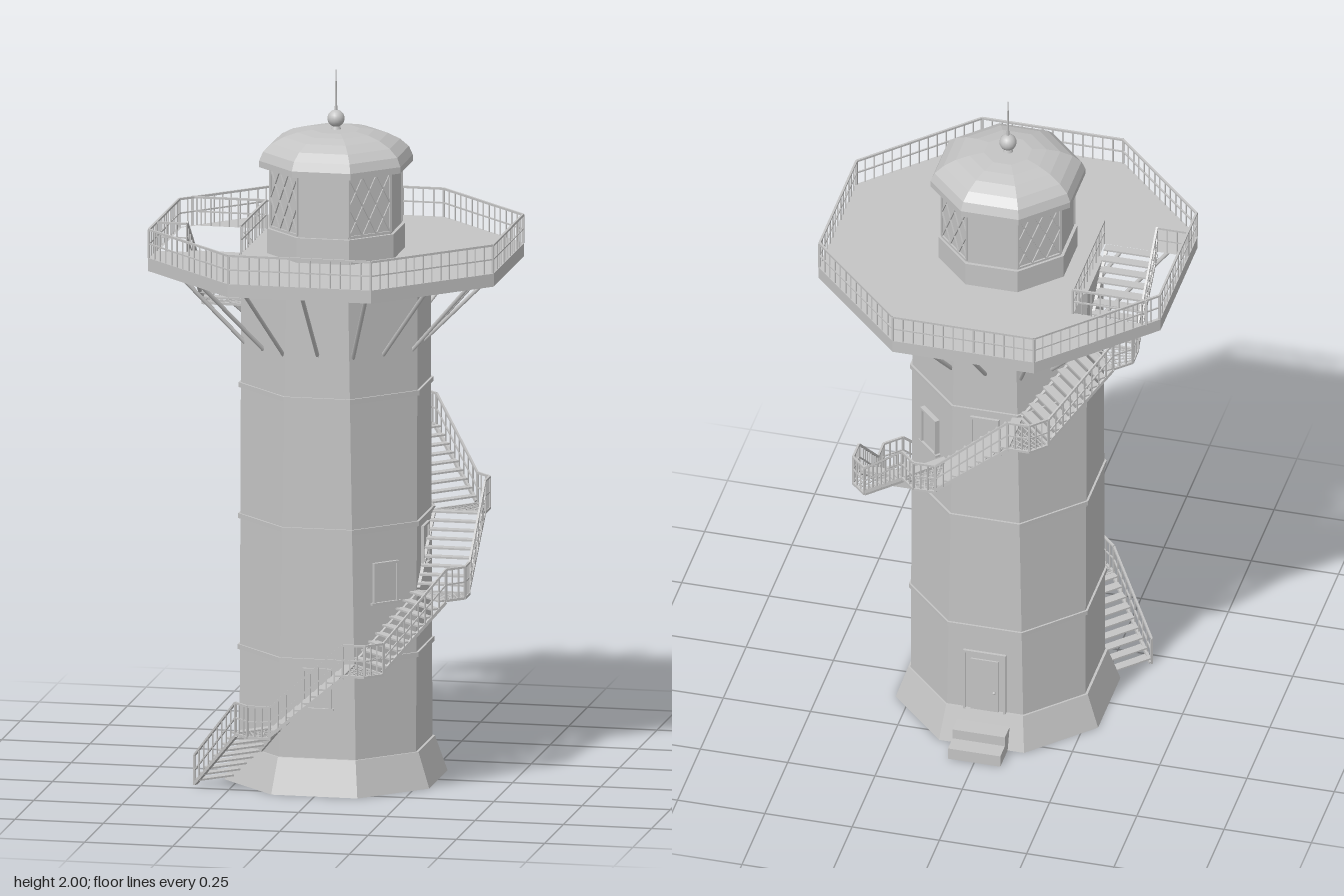
import * as THREE from 'three';
import { mergeGeometries } from 'three/addons/utils/BufferGeometryUtils.js';

const grey = new THREE.MeshStandardMaterial({ color: 0xc4c4c4 });
grey.name = 'pale grey';
const V = (x, y, z) => new THREE.Vector3(x, y, z);

function add(parent, name, geometry) {
  const mesh = new THREE.Mesh(geometry, grey);
  mesh.name = name;
  parent.add(mesh);
  return mesh;
}

// Box given by its centre and size
const box = (x, y, z, w, h, d) => new THREE.BoxGeometry(w, h, d).translate(x, y, z);

// Square bar between two points
function bar(a, b, t = 0.004) {
  const dir = b.clone().sub(a);
  const g = new THREE.BoxGeometry(t, t, dir.length());
  const m = new THREE.Object3D();
  m.position.copy(a).add(b).multiplyScalar(0.5);
  m.lookAt(b);
  m.updateMatrix();
  return g.applyMatrix4(m.matrix);
}

const corners = (a, h) => [[h, a], [a, h], [a, -h], [h, -a], [-h, -a], [-a, -h], [-a, h], [-h, a]];
const SIDE = Math.tan(Math.PI / 8);

// Closed eight-sided loft from sections [y, apothem, half side]
function octLoft(sections) {
  const rings = sections.map(([y, a, h = a * SIDE]) => corners(a, h).map(([x, z]) => V(x, y, z)));
  const pts = [];
  const last = rings.length - 1;
  for (let i = 0; i < 8; i++) {
    const j = (i + 1) % 8;
    for (let r = 0; r < last; r++) {
      const [p, q, s, t] = [rings[r][i], rings[r][j], rings[r + 1][j], rings[r + 1][i]];
      pts.push(p, q, s, p, s, t);
    }
    pts.push(V(0, sections[0][0], 0), rings[0][j], rings[0][i]);
    pts.push(V(0, sections[last][0], 0), rings[last][i], rings[last][j]);
  }
  const g = new THREE.BufferGeometry().setFromPoints(pts);
  g.computeVertexNormals();
  return g;
}

// Railing along a path of floor points: top rail, middle rail and balusters
function railing(path, counts, height, closed = false) {
  const out = [];
  const up = (p, h) => p.clone().add(V(0, h, 0));
  const n = closed ? path.length : path.length - 1;
  for (let i = 0; i < n; i++) {
    const a = path[i], b = path[(i + 1) % path.length];
    out.push(bar(up(a, height), up(b, height), 0.006), bar(up(a, height * 0.5), up(b, height * 0.5)));
    for (let k = 0; k <= counts[i]; k++) {
      const p = a.clone().lerp(b, k / counts[i]);
      out.push(bar(p, up(p, height), k === 0 ? 0.006 : 0.0035));
    }
  }
  return mergeGeometries(out);
}

const DECK = 1.487;

function addStairs(root) {
  const rise = DECK / 8, half = 0.1035, steps = 9, inner = 0.252, outer = 0.4;
  for (let i = 0; i < 8; i++) {
    const flight = new THREE.Group();
    flight.name = 'stairFlight';
    flight.rotation.y = (i - 1) * Math.PI / 4;
    flight.position.y = i * rise;
    root.add(flight);
    // Treads and stringers
    const treads = [];
    const run = 2 * half / steps;
    for (let s = 0; s < steps; s++) {
      treads.push(box(-half + (s + 0.5) * run, (s + 1) * rise / steps - 0.003, 0.326, run + 0.003, 0.005, 0.146));
    }
    add(flight, 'treads', mergeGeometries(treads));
    add(flight, 'stringers', mergeGeometries([inner + 0.004, outer - 0.003].map(z =>
      bar(V(-half, 0.004, z), V(half, rise - 0.008, z), 0.009))));
    const path = [V(-half, 0, outer), V(half, rise, outer)];
    const counts = [9];
    if (i < 7) {
      // Corner landing of open grating
      const c = [V(half, rise, inner), V(half, rise, outer), V(0.1657, rise, outer), V(half + 0.105, rise, 0.356)];
      const at = (p, q, t) => c[p].clone().lerp(c[q], t).add(V(0, -0.003, 0));
      const grate = [];
      for (let k = 0; k <= 6; k++) {
        const t = k / 6, w = k % 6 ? 0.0025 : 0.007;
        grate.push(bar(at(0, 1, t), at(3, 2, t), w), bar(at(0, 3, t), at(1, 2, t), w));
      }
      add(flight, 'landing', mergeGeometries(grate.filter(g => Number.isFinite(g.attributes.position.array[0]))));
      path.push(c[2], c[3]);
      counts.push(3, 3);
    }
    add(flight, 'stairRailing', railing(path, counts, 0.085));
  }
}

// Framed opening on tower face k
function addOpening(root, name, k, y0, y1, w) {
  const g = new THREE.Group();
  g.name = name;
  g.rotation.y = k * Math.PI / 4;
  root.add(g);
  const h = y1 - y0, y = (y0 + y1) / 2, f = 0.007;
  add(g, 'panel', box(0, y, 0.245, w, h, 0.014));
  add(g, 'frame', mergeGeometries([
    box(-w / 2, y, 0.245, f, h, 0.026), box(w / 2, y, 0.245, f, h, 0.026),
    box(0, y1, 0.245, w + f, f, 0.026), box(0, y0, 0.245, w + 0.02, f, 0.03)]));
  return g;
}

export function createModel() {
  const root = new THREE.Group();
  root.name = 'lighthouse';

  // Tower, flared foot and string courses
  add(root, 'foot', octLoft([[0, 0.29, 0.122], [0.1, 0.257, 0.11]]));
  add(root, 'tower', octLoft([[0.1, 0.25, 0.109], [1.452, 0.25, 0.087]]));
  for (const y of [0.375, 0.745, 1.115]) {
    const h = 0.112 - 0.0163 * y;
    add(root, 'stringCourse', octLoft([[y - 0.007, 0.256, h], [y + 0.007, 0.256, h]]));
  }

  // Windows following the stair, door and doorsteps at the back
  [[0, 0.24], [1, 0.535], [2, 0.61], [3, 0.91], [4, 0.98], [5, 1.275]].forEach(([k, y]) =>
    addOpening(root, 'window', k, y, y + 0.112, 0.075));
  const door = addOpening(root, 'door', 4, 0.07, 0.292, 0.115);
  add(door, 'doorLeaf', box(0, 0.17, 0.25, 0.08, 0.2, 0.014));
  add(door, 'doorKnob', new THREE.SphereGeometry(0.005, 8, 6).translate(0.028, 0.165, 0.26));
  add(root, 'upperDoorstep', box(0, 0.0325, -0.29, 0.15, 0.065, 0.06));
  add(root, 'lowerDoorstep', box(0, 0.0175, -0.333, 0.15, 0.035, 0.074));

  addStairs(root);

  // Gallery deck with stair opening
  const deckShape = new THREE.Shape(corners(0.49, 0.203).map(([x, z]) => new THREE.Vector2(x, z)));
  const opening = [[-0.25, -0.235], [-0.445, -0.235], [-0.48, -0.2], [-0.48, 0.105], [-0.25, 0.105]];
  deckShape.holes.push(new THREE.Path(opening.map(([x, z]) => new THREE.Vector2(x, z))));
  add(root, 'galleryDeck', new THREE.ExtrudeGeometry(deckShape, { depth: 0.037, bevelEnabled: false })
    .rotateX(Math.PI / 2).translate(0, DECK, 0));
  add(root, 'galleryRailing', railing(corners(0.487, 0.202).map(([x, z]) => V(x, DECK, z)), Array(8).fill(14), 0.08, true));
  add(root, 'openingRailing', railing(
    [V(-0.458, DECK, -0.237), V(-0.248, DECK, -0.237), V(-0.248, DECK, 0.105)], [8, 11], 0.08));
  add(root, 'openingEndRailing', railing([V(-0.485, DECK, 0.107), V(-0.4, DECK, 0.107)], [3], 0.08));

  // Slanted struts under the deck, left out below the stair opening
  for (let i = 0; i < 16; i++) {
    if (i === 11 || i === 12) continue;
    const a = i * Math.PI / 8, s = Math.sin(a), c = Math.cos(a);
    const r = i % 2 ? 0.255 : 0.24;
    const path = new THREE.LineCurve3(V(s * r, 1.235, c * r), V(s * 0.46, 1.455, c * 0.46));
    add(root, 'strut', new THREE.TubeGeometry(path, 1, 0.006, 6));
  }

  // Lantern room
  add(root, 'lanternBase', octLoft([[DECK, 0.179], [1.557, 0.179]]));
  add(root, 'lanternRoom', octLoft([[1.55, 0.17], [1.74, 0.17]]));
  for (let k = 1; k < 8; k += 2) {
    const w = 0.068, y0 = 1.563, y1 = 1.73, z = 0.172, lines = [];
    for (const x of [-w, w]) lines.push(bar(V(x, y0, z), V(x, y1, z), 0.006));
    for (const y of [y0, y1]) lines.push(bar(V(-w, y, z), V(w, y, z), 0.006));
    // Diamond glazing bars
    const cell = 2 * w / 3, mid = (y0 + y1) / 2;
    for (let n = 0; n < 3; n++) {
      const x = -w + n * cell;
      for (const [a, b] of [[y0, mid], [mid, y1]]) {
        lines.push(bar(V(x, a, z), V(x + cell, b, z)), bar(V(x + cell, a, z), V(x, b, z)));
      }
    }
    add(root, 'lattice', mergeGeometries(lines)).rotation.y = k * Math.PI / 4;
  }

  // Faceted dome, ball and spike
  add(root, 'dome', octLoft([[1.732, 0.2], [1.75, 0.2], [1.775, 0.19], [1.797, 0.167],
    [1.815, 0.135], [1.826, 0.1], [1.832, 0.062]]));
  add(root, 'finialNeck', new THREE.CylinderGeometry(0.009, 0.016, 0.02, 12).translate(0, 1.837, 0));
  add(root, 'finialBall', new THREE.SphereGeometry(0.024, 16, 12).translate(0, 1.862, 0));
  add(root, 'spike', new THREE.CylinderGeometry(0.0015, 0.004, 0.12, 6).translate(0, 1.94, 0));
  return root;
}
